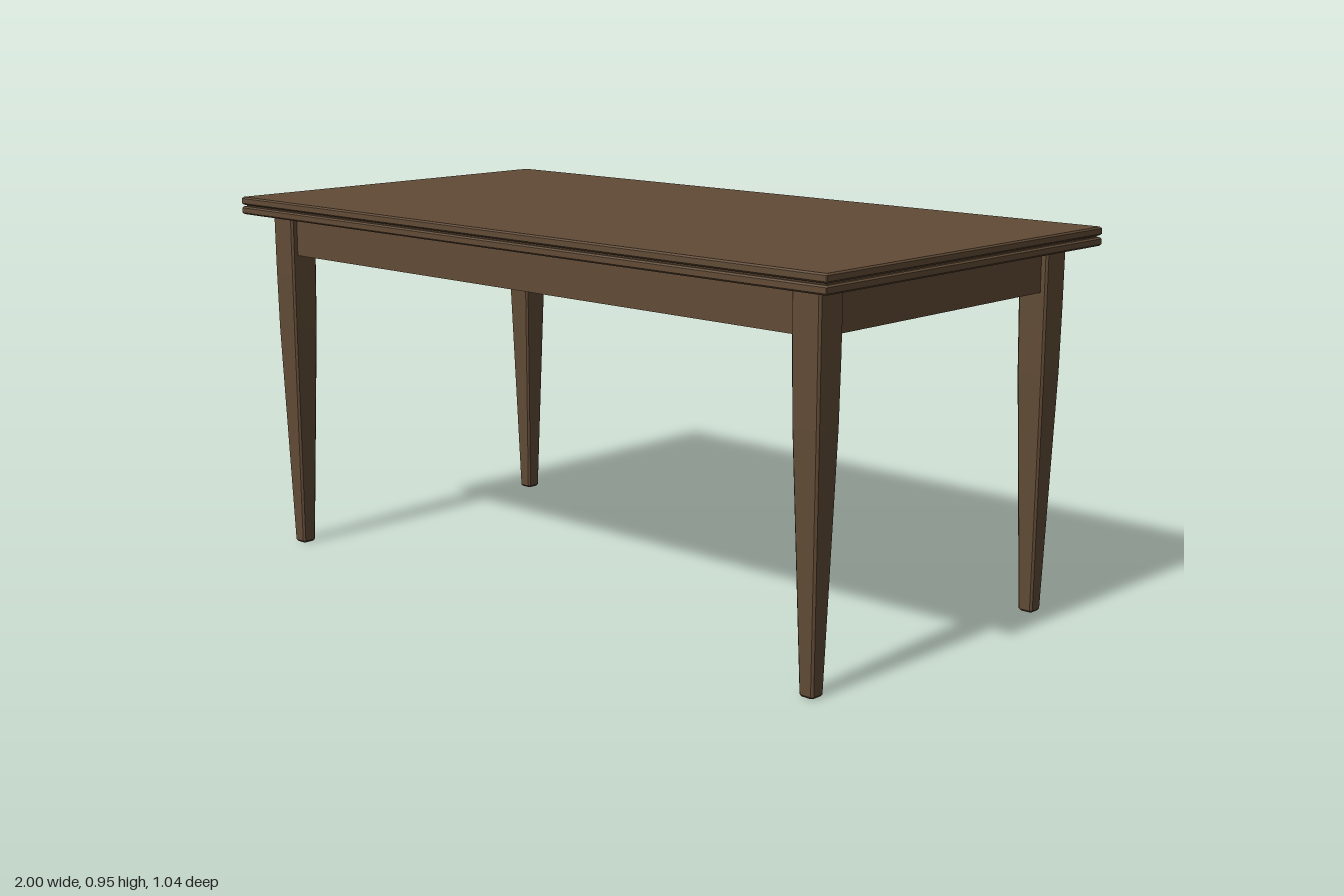
import * as THREE from 'three';

// Lofts chamfered rectangles [y, halfX, halfZ, chamfer], listed bottom to top, with capped ends
function loft(sections) {
  const rings = sections.map(([y, x, z, c]) => [
    [x, z - c], [x - c, z], [c - x, z], [-x, z - c],
    [-x, c - z], [c - x, -z], [x - c, -z], [x, c - z],
  ].map(([px, pz]) => new THREE.Vector3(px, y, pz)));
  const pts = [];
  for (let i = 0; i < rings.length - 1; i++) {
    for (let j = 0; j < 8; j++) {
      const k = (j + 1) % 8;
      const a = rings[i][j], b = rings[i][k], c = rings[i + 1][j], d = rings[i + 1][k];
      pts.push(a, c, b, b, c, d);
    }
  }
  const bottom = rings[0], top = rings[rings.length - 1];
  for (let j = 1; j < 7; j++) {
    pts.push(bottom[0], bottom[j], bottom[j + 1]);
    pts.push(top[0], top[j + 1], top[j]);
  }
  const geometry = new THREE.BufferGeometry().setFromPoints(pts);
  geometry.computeVertexNormals();
  return geometry;
}

export function createModel() {
  const model = new THREE.Group();
  model.name = 'diningTable';
  const wood = new THREE.MeshStandardMaterial({ color: 0x614b36 });
  wood.name = 'darkWood';

  const add = (name, geometry, x = 0, y = 0, z = 0) => {
    const mesh = new THREE.Mesh(geometry, wood);
    mesh.name = name;
    mesh.position.set(x, y, z);
    model.add(mesh);
  };

  // Two stacked slabs with bevelled edges and a narrow shadow gap between them
  const X = 1, Z = 0.521, B = 0.004;
  const slab = (y0, y1) => loft([
    [y0, X - B, Z - B, B / 2], [y0 + B, X, Z, B / 2],
    [y1 - B, X, Z, B / 2], [y1, X - B, Z - B, B / 2],
  ]);
  add('lowerTopLeaf', slab(0.906, 0.927));
  add('upperTopLeaf', slab(0.931, 0.952));
  add('leafSpacer', new THREE.BoxGeometry(1.98, 0.006, 1.022), 0, 0.929, 0);

  // Tapered legs with chamfered corners and feet
  const legX = 0.899, legZ = 0.424;
  const leg = loft([
    [0, 0.016, 0.016, 0.004], [0.005, 0.02, 0.02, 0.005],
    [0.6, 0.037, 0.037, 0.005], [0.75, 0.039, 0.039, 0.005], [0.907, 0.04, 0.04, 0.005],
  ]);
  for (const sx of [-1, 1]) {
    for (const sz of [-1, 1]) {
      add((sz > 0 ? 'front' : 'back') + (sx > 0 ? 'Left' : 'Right') + 'Leg', leg, sx * legX, 0, sz * legZ);
    }
  }

  // Thin aprons set slightly back from the outer leg faces
  const longApron = new THREE.BoxGeometry(2 * legX - 0.07, 0.106, 0.022);
  const shortApron = new THREE.BoxGeometry(0.022, 0.106, 2 * legZ - 0.07);
  for (const s of [-1, 1]) {
    add(s > 0 ? 'frontApron' : 'backApron', longApron, 0, 0.853, s * 0.436);
    add(s > 0 ? 'leftApron' : 'rightApron', shortApron, s * 0.911, 0.853, 0);
  }
  return model;
}
